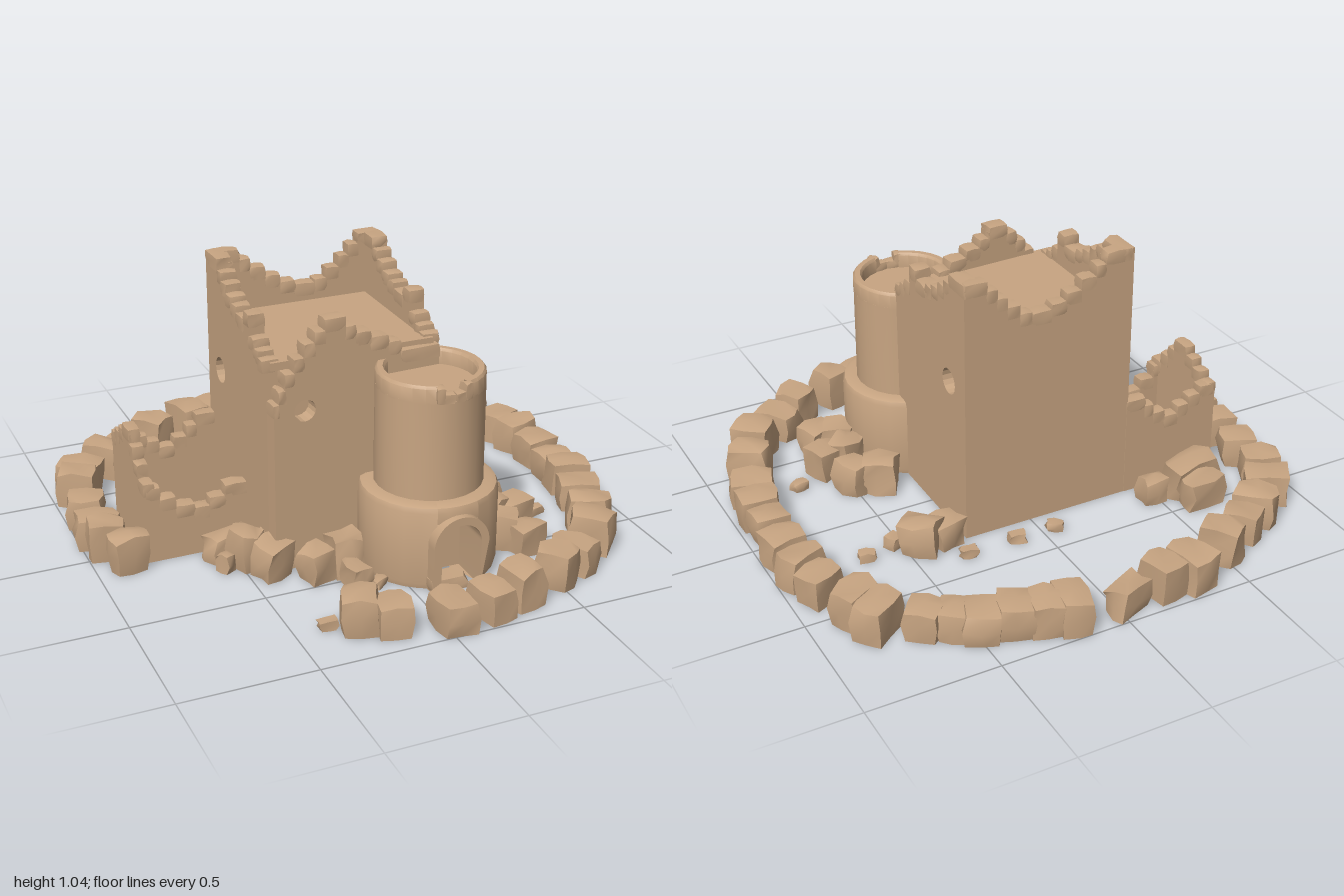
import * as THREE from 'three';
import { toCreasedNormals } from 'three/addons/utils/BufferGeometryUtils.js';

const material = new THREE.MeshStandardMaterial({ color: 0xc8a582, side: THREE.DoubleSide });

// Small seeded generator for the irregular stones
let seed = 7;
const rand = () => (seed = (seed * 16807) % 2147483647) / 2147483647;
const vary = (a) => (rand() - 0.5) * 2 * a;

function add(parent, name, geometry, x = 0, y = 0, z = 0, turn = 0) {
  const mesh = new THREE.Mesh(geometry, material);
  mesh.name = name;
  mesh.position.set(x, y, z);
  mesh.rotation.y = turn;
  parent.add(mesh);
  return mesh;
}

// Weathered block standing on y = 0: bulging faces and skewed corners
function stoneGeometry(w, h, d, rough = 0.1) {
  const g = new THREE.BoxGeometry(1, 1, 1, 2, 2, 2);
  const p = g.attributes.position;
  const offsets = Array.from({ length: 27 }, () => [vary(rough), vary(rough), vary(rough)]);
  for (let i = 0; i < p.count; i++) {
    const c = [p.getX(i), p.getY(i), p.getZ(i)].map((v) => Math.round(v * 2));
    const o = offsets[(c[0] + 1) * 9 + (c[1] + 1) * 3 + c[2] + 1];
    const edges = Math.abs(c[0]) + Math.abs(c[1]) + Math.abs(c[2]);
    const s = (edges === 3 ? 0.9 : edges === 2 ? 0.98 : 1.05) / 2;
    const y = c[1] < 0 ? 0 : c[1] * s + 0.5 + o[1] * 0.6;
    p.setXYZ(i, (c[0] * s + o[0] * 0.6) * w, y * h, (c[2] * s + o[2] * 0.6) * d);
  }
  g.computeVertexNormals();
  return g;
}

// Ruined wall: steps are [start, height], with round holes [u, y, radius] and a cap stone on each step
function ruinedWall(parent, name, steps, end, thickness, holes, x, z, turn) {
  const wall = new THREE.Group();
  wall.name = name;
  const shape = new THREE.Shape();
  shape.moveTo(steps[0][0], 0);
  steps.forEach(([u, h], i) => {
    const next = i + 1 < steps.length ? steps[i + 1][0] : end;
    shape.lineTo(u, h - 0.02);
    shape.lineTo(next, h - 0.02);
    const cap = stoneGeometry(next - u + 0.004, 0.05, thickness + 0.006, 0.07);
    add(wall, 'capStone', cap, (u + next) / 2, h - 0.05, 0);
  });
  shape.lineTo(end, 0);
  for (const [u, y, r] of holes) {
    const hole = new THREE.Path();
    hole.absarc(u, y, r, 0, Math.PI * 2, true);
    shape.holes.push(hole);
  }
  const g = new THREE.ExtrudeGeometry(shape, { depth: thickness, bevelEnabled: false, curveSegments: 8 });
  g.translate(0, 0, -thickness / 2);
  add(wall, 'masonry', g);
  wall.position.set(x, 0, z);
  wall.rotation.y = turn;
  parent.add(wall);
}

function lathe(parent, name, points, start = 0, length = Math.PI * 2, segments = 24) {
  const profile = points.map(([r, y]) => new THREE.Vector2(r, y));
  const g = toCreasedNormals(new THREE.LatheGeometry(profile, segments, start, length), 0.7);
  return add(parent, name, g);
}

function buildKeep() {
  const keep = new THREE.Group();
  keep.name = 'keep';
  const side = [[-0.29, 1.04], [-0.17, 1.0], [-0.13, 0.97], [-0.08, 0.94], [-0.03, 0.92], [0.02, 0.9],
    [0.1, 0.935], [0.155, 0.86], [0.2, 0.83], [0.24, 0.81]];
  for (const [name, x] of [['leftWall', 0.24], ['rightWall', -0.385]])
    ruinedWall(keep, name, side, 0.28, 0.06, [[-0.16, 0.605, 0.05]], x, 0, -Math.PI / 2);
  const back = [[-0.41, 1.04], [-0.3, 1.0], [-0.26, 0.96], [-0.2, 0.92], [-0.14, 0.89], [-0.08, 0.87],
    [0.0, 0.88], [0.05, 0.92], [0.1, 0.96], [0.14, 1.0], [0.18, 1.04]];
  ruinedWall(keep, 'backWall', back, 0.265, 0.05, [], 0, -0.265, 0);
  const front = [[-0.4, 0.66], [-0.38, 0.71], [-0.355, 0.77], [-0.32, 0.82], [-0.28, 0.87], [-0.24, 0.91],
    [-0.2, 0.95], [-0.12, 0.91], [-0.08, 0.88], [-0.02, 0.85], [0.05, 0.82], [0.1, 0.78]];
  ruinedWall(keep, 'frontWall', front, 0.26, 0.06, [[-0.28, 0.62, 0.042]], 0, 0.295, 0.05);
  add(keep, 'roofFloor', new THREE.BoxGeometry(0.63, 0.03, 0.57), -0.073, 0.785, 0.01);
  add(keep, 'groundFloor', new THREE.BoxGeometry(0.62, 0.02, 0.56), -0.073, 0.01, 0.01);
  return keep;
}

function buildAnnex() {
  const annex = new THREE.Group();
  annex.name = 'annex';
  const back = [[-0.8, 0.38], [-0.74, 0.35], [-0.69, 0.32], [-0.64, 0.29], [-0.58, 0.32], [-0.53, 0.36], [-0.49, 0.4]];
  ruinedWall(annex, 'backWall', back, -0.41, 0.045, [], 0, -0.27, 0);
  const front = [[-0.8, 0.3], [-0.75, 0.25], [-0.69, 0.21], [-0.62, 0.19], [-0.56, 0.22], [-0.5, 0.26]];
  ruinedWall(annex, 'frontWall', front, -0.41, 0.05, [], 0, 0.07, 0);
  const end = [[-0.29, 0.38], [-0.24, 0.41], [-0.19, 0.44], [-0.14, 0.47], [-0.06, 0.42], [-0.02, 0.37], [0.03, 0.32]];
  ruinedWall(annex, 'endWall', end, 0.095, 0.04, [], -0.79, 0, -Math.PI / 2);
  add(annex, 'floor', new THREE.BoxGeometry(0.4, 0.03, 0.36), -0.6, 0.015, -0.1);
  return annex;
}

function buildTower() {
  const tower = new THREE.Group();
  tower.name = 'roundTower';
  tower.position.set(0.16, 0, 0.44);
  const gap = 0.32;
  // Wide base, open at the doorway and closed above it
  lathe(tower, 'base', [[0, 0], [0.25, 0], [0.255, 0.02], [0.255, 0.3], [0.248, 0.318], [0.23, 0.325], [0.18, 0.325]],
    gap, Math.PI * 2 - gap * 2);
  lathe(tower, 'lintel', [[0.18, 0.258], [0.255, 0.258], [0.255, 0.3], [0.248, 0.318], [0.23, 0.325], [0.18, 0.325]],
    -gap, gap * 2, 4);
  // Shaft with recessed top
  lathe(tower, 'shaft', [[0.2, 0.3], [0.198, 0.7], [0.165, 0.7], [0, 0.7]]);
  lathe(tower, 'parapet', [[0.198, 0.695], [0.198, 0.75], [0.19, 0.76], [0.17, 0.76], [0.162, 0.75], [0.162, 0.695]],
    0.3, Math.PI * 2 - 0.6);
  for (const s of [-1, 1]) {
    add(tower, 'parapetEnd', stoneGeometry(0.03, 0.06, 0.045), s * 0.05, 0.698, 0.178, s * 0.25);
    add(tower, 'notchStone', stoneGeometry(0.06, 0.035, 0.04), s * 0.03, 0.695, 0.18, s * 0.15);
  }
  // Arched doorway
  const arch = new THREE.Shape();
  arch.moveTo(0.108, 0);
  arch.absarc(0, 0.18, 0.108, 0, Math.PI, false);
  arch.lineTo(-0.108, 0);
  arch.lineTo(-0.078, 0);
  arch.absarc(0, 0.18, 0.078, Math.PI, 0, true);
  arch.lineTo(0.078, 0);
  const g = new THREE.ExtrudeGeometry(arch, { depth: 0.2, bevelEnabled: false, curveSegments: 12 });
  add(tower, 'doorArch', toCreasedNormals(g, 0.6), 0, 0, 0.08);
  add(tower, 'doorRecess', new THREE.BoxGeometry(0.17, 0.27, 0.02), 0, 0.135, 0.1);
  add(tower, 'doorStep', stoneGeometry(0.14, 0.05, 0.08), -0.04, 0, 0.235);
  return tower;
}

function buildRingWall() {
  const ring = new THREE.Group();
  ring.name = 'ringWall';
  const places = [[-0.74, -0.69], [-0.64, -0.75], [-0.49, -0.83], [-0.31, -0.91], [-0.19, -0.91], [0.18, -0.91],
    [0.27, -0.89], [0.37, -0.85], [0.48, -0.82], [0.56, -0.77], [0.65, -0.72], [0.79, -0.64], [0.83, -0.54],
    [0.89, -0.37], [0.91, -0.25], [0.92, -0.1], [0.91, 0.06], [0.91, 0.17], [0.88, 0.31], [0.82, 0.49],
    [0.75, 0.63], [0.61, 0.74], [0.5, 0.81], [0.31, 0.88], [0.18, 0.91], [0.02, 0.93], [-0.18, 0.87],
    [-0.28, 0.82], [-0.88, 0.1], [-0.93, -0.02], [-0.93, -0.13], [-0.93, -0.3], [-0.91, -0.48], [-0.87, -0.58]];
  for (const [x, z] of places) {
    const g = stoneGeometry(0.12 + vary(0.012), 0.135 + vary(0.018), 0.15 + vary(0.02));
    add(ring, 'ringStone', g, x, 0, z, Math.atan2(x, z) + vary(0.08));
  }
  return ring;
}

function buildRubble() {
  const rubble = new THREE.Group();
  rubble.name = 'rubble';
  // x, z, width, height, depth, turn
  const blocks = [[-0.64, -0.49, 0.17, 0.12, 0.1, 0.05], [-0.64, -0.39, 0.2, 0.14, 0.13, 0.2], [-0.48, -0.39, 0.1, 0.1, 0.08, 0],
    [-0.03, -0.93, 0.15, 0.11, 0.1, 0.35], [0.45, -0.27, 0.15, 0.13, 0.13, -0.7], [0.35, -0.27, 0.12, 0.11, 0.12, 0.2],
    [0.53, -0.21, 0.06, 0.05, 0.06, 0.4], [-0.28, 0.44, 0.11, 0.12, 0.11, 0.4], [-0.16, 0.42, 0.12, 0.14, 0.13, 0],
    [-0.17, 0.54, 0.07, 0.09, 0.12, 0.1], [-0.42, 0.35, 0.12, 0.13, 0.12, 0.4], [-0.48, 0.25, 0.1, 0.15, 0.13, 0.3],
    [-0.56, 0.26, 0.05, 0.07, 0.06, 0.5], [-0.38, 0.27, 0.12, 0.14, 0.1, 0.6], [-0.52, 0.16, 0.16, 0.1, 0.1, 0.1],
    [0.41, 0.17, 0.14, 0.14, 0.11, -0.5], [0.5, 0.21, 0.11, 0.13, 0.12, 0.4], [0.46, 0.37, 0.13, 0.14, 0.11, 0.5],
    [0.55, 0.37, 0.13, 0.12, 0.11, 0.3], [0.52, 0.55, 0.13, 0.11, 0.1, 0.3], [0.45, 0.48, 0.12, 0.14, 0.12, -0.5]];
  for (const [x, z, w, h, d, turn] of blocks) add(rubble, 'fallenBlock', stoneGeometry(w, h, d, 0.16), x, 0, z, turn);
  const pebbles = [[-0.05, -0.39], [0.11, -0.39], [0.31, -0.39], [0.65, -0.24], [0.69, 0.31], [-0.1, 0.58], [-0.38, 0.77]];
  for (const [x, z] of pebbles) add(rubble, 'pebble', stoneGeometry(0.065, 0.035, 0.045, 0.18), x, 0, z, vary(0.6));
  return rubble;
}

export function createModel() {
  seed = 7;
  const model = new THREE.Group();
  model.name = 'ruinedCastle';
  model.add(buildKeep(), buildAnnex(), buildTower(), buildRingWall(), buildRubble());
  return model;
}
